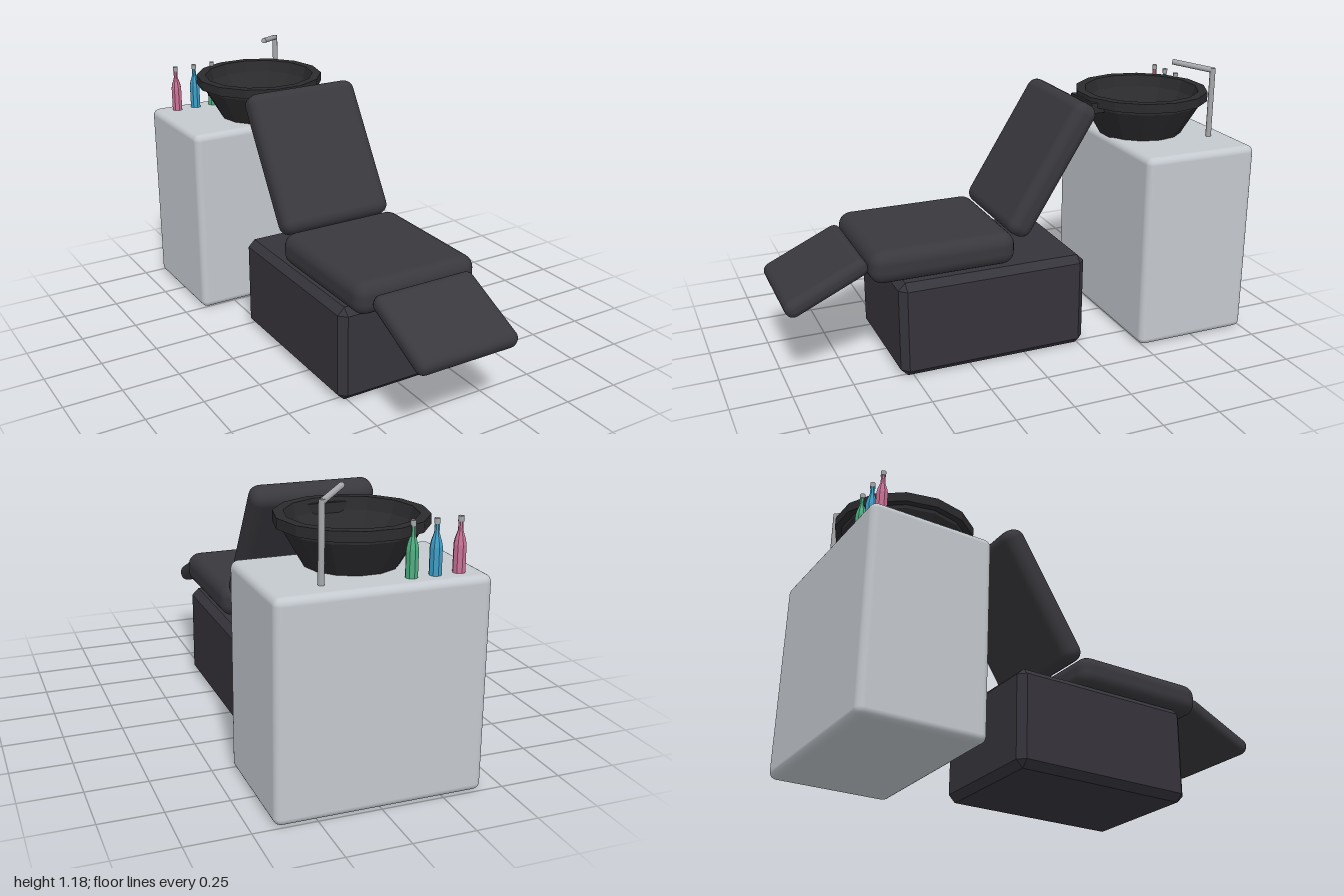
import * as THREE from 'three';
import { RoundedBoxGeometry } from 'three/addons/geometries/RoundedBoxGeometry.js';
import { ConvexGeometry } from 'three/addons/geometries/ConvexGeometry.js';

const mat = (name, color) => {
  const m = new THREE.MeshStandardMaterial({ color });
  m.name = name;
  return m;
};

const add = (parent, name, geometry, material, x = 0, y = 0, z = 0) => {
  const mesh = new THREE.Mesh(geometry, material);
  mesh.name = name;
  mesh.position.set(x, y, z);
  parent.add(mesh);
  return mesh;
};

// Box with a single flat chamfer on every edge
function chamferBox(w, h, d, c) {
  const pts = [];
  for (const sx of [-1, 1]) for (const sy of [-1, 1]) for (const sz of [-1, 1]) {
    const x = w / 2, y = h / 2, z = d / 2;
    pts.push(
      new THREE.Vector3(sx * x, sy * (y - c), sz * (z - c)),
      new THREE.Vector3(sx * (x - c), sy * y, sz * (z - c)),
      new THREE.Vector3(sx * (x - c), sy * (y - c), sz * z));
  }
  return new ConvexGeometry(pts);
}

// Faceted turned shape with flat normals
function facetedLathe(profile, sides, turn = 0) {
  const g = new THREE.LatheGeometry(profile.map(([r, y]) => new THREE.Vector2(r, y)), sides, turn).toNonIndexed();
  g.computeVertexNormals();
  return g;
}

// Round bar between two points
function bar(parent, name, a, b, radius, material) {
  const dir = b.clone().sub(a);
  const mesh = add(parent, name, new THREE.CylinderGeometry(radius, radius, dir.length(), 10), material);
  mesh.position.copy(a).add(b).multiplyScalar(0.5);
  mesh.quaternion.setFromUnitVectors(new THREE.Vector3(0, 1, 0), dir.normalize());
}

export function createModel() {
  const model = new THREE.Group();
  model.name = 'shampooStation';

  const leather = mat('black leather', 0x38383d);
  const baseMat = mat('dark base', 0x36343b);
  const ceramic = mat('black ceramic', 0x2b2b2e);
  const cabinetMat = mat('pale grey', 0xc4c9cf);
  const chrome = mat('chrome', 0xa6a8ab);

  // Reclining chair
  const chair = new THREE.Group();
  chair.name = 'chair';
  model.add(chair);
  add(chair, 'chairBase', chamferBox(0.58, 0.415, 0.825, 0.03), baseMat, 0, 0.2075, 0.14);
  add(chair, 'seat', new RoundedBoxGeometry(0.56, 0.14, 0.62, 3, 0.055), leather, 0, 0.49, 0.35);
  const back = add(chair, 'backrest', new RoundedBoxGeometry(0.52, 0.62, 0.11, 3, 0.045), leather, 0, 0.795, -0.133);
  back.rotation.x = THREE.MathUtils.degToRad(-32);
  const foot = add(chair, 'footrest', new RoundedBoxGeometry(0.46, 0.075, 0.37, 3, 0.034), leather, 0, 0.422, 0.828);
  foot.rotation.x = THREE.MathUtils.degToRad(25);

  // Cabinet
  add(model, 'cabinet', new RoundedBoxGeometry(0.825, 0.85, 0.515, 3, 0.03), cabinetMat, 0, 0.425, -0.7425);

  // Wash basin: outer wall, rim, inner wall and floor in one profile
  const basin = new THREE.Group();
  basin.name = 'washBasin';
  basin.position.set(0, 0, -0.67);
  model.add(basin);
  add(basin, 'bowl', facetedLathe([
    [0, 0.845], [0.18, 0.845], [0.262, 0.985], [0.262, 1.0], [0.29, 1.0],
    [0.29, 1.04], [0.25, 1.04], [0.235, 0.99], [0.155, 0.88], [0, 0.88],
  ], 14, Math.PI / 14), ceramic);
  add(basin, 'neckRest', new THREE.BoxGeometry(0.2, 0.045, 0.07), ceramic, 0, 1.0, 0.258);

  // Tap
  const tap = new THREE.Group();
  tap.name = 'tap';
  model.add(tap);
  const bend = new THREE.Vector3(0.207, 1.143, -0.897);
  bar(tap, 'tapPost', new THREE.Vector3(0.207, 0.84, -0.897), new THREE.Vector3(0.207, 1.152, -0.897), 0.012, chrome);
  bar(tap, 'tapSpout', bend, new THREE.Vector3(0.083, 1.165, -0.773), 0.012, chrome);

  // Row of bottles
  const bottleGeo = facetedLathe([
    [0, 0], [0.024, 0], [0.024, 0.105], [0.02, 0.125], [0.01, 0.155], [0.009, 0.19], [0, 0.19],
  ], 8);
  const capGeo = new THREE.CylinderGeometry(0.011, 0.011, 0.02, 8);
  [['pink', 0xcb7296, -0.312], ['blue', 0x3f9fc8, -0.218], ['green', 0x4fae82, -0.125]].forEach(([name, color, x]) => {
    const bottle = new THREE.Group();
    bottle.name = name + 'Bottle';
    bottle.position.set(x, 0.849, -0.922);
    model.add(bottle);
    add(bottle, 'bottleBody', bottleGeo, mat(name, color));
    add(bottle, 'bottleCap', capGeo, chrome, 0, 0.198, 0);
  });

  return model;
}
